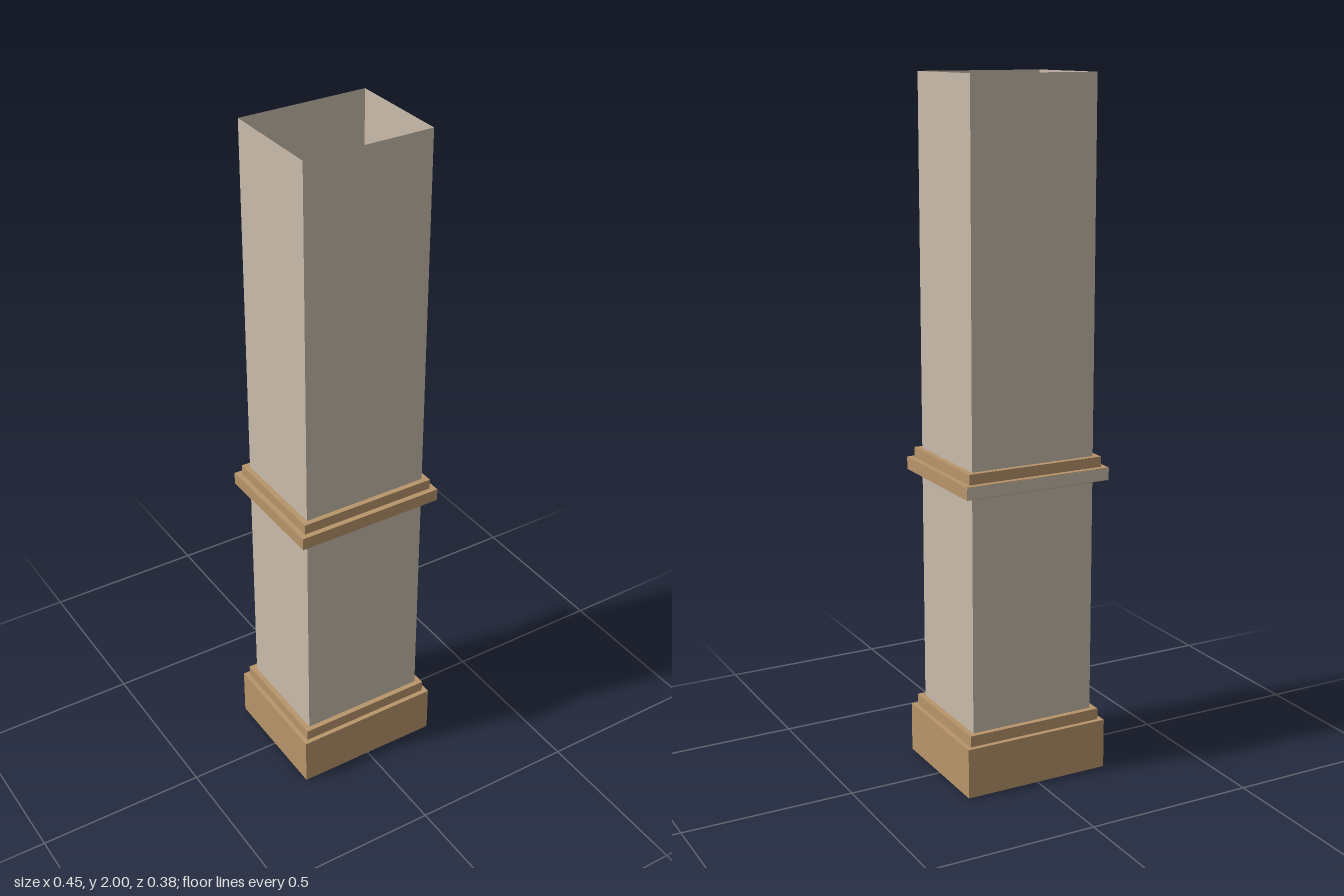
import * as THREE from 'three';

const plaster = new THREE.MeshStandardMaterial({ color: 0xc9bbaa, side: THREE.DoubleSide, flatShading: true });
plaster.name = 'pale plaster';
const wood = new THREE.MeshStandardMaterial({ color: 0xb8956a, flatShading: true });
wood.name = 'tan trim';

// Half sizes of the hollow shaft
const SX = 0.191, SZ = 0.157;

function rectangle(Path, hx, hz) {
  return new Path([[-hx, -hz], [hx, -hz], [hx, hz], [-hx, hz]].map(([x, z]) => new THREE.Vector2(x, z)));
}

// Rectangular frame with an open middle, standing between two heights
function frame(name, out, inner, y0, y1) {
  const shape = rectangle(THREE.Shape, SX + out, SZ + out);
  shape.holes.push(rectangle(THREE.Path, SX + inner, SZ + inner));
  const geometry = new THREE.ExtrudeGeometry(shape, { depth: y1 - y0, bevelEnabled: false });
  geometry.rotateX(-Math.PI / 2).translate(0, y0, 0);
  const mesh = new THREE.Mesh(geometry, wood);
  mesh.name = name;
  return mesh;
}

export function createModel() {
  const group = new THREE.Group();
  group.name = 'squareColumn';

  // Thin-walled shaft, open at both ends
  const bottom = 0.16, top = 2;
  const tube = new THREE.CylinderGeometry(Math.SQRT2, Math.SQRT2, top - bottom, 4, 1, true, Math.PI / 4);
  tube.scale(SX, 1, SZ).translate(0, (top + bottom) / 2, 0);
  const shaft = new THREE.Mesh(tube, plaster);
  shaft.name = 'shaft';
  group.add(shaft);

  // Hollow plinth and the stepped trims
  group.add(
    frame('plinth', 0.031, 0.012, 0, 0.147),
    frame('plinthMoulding', 0.017, 0.001, 0.147, 0.18),
    frame('bandLower', 0.033, 0.001, 0.875, 0.912),
    frame('bandUpper', 0.017, 0.001, 0.912, 0.942)
  );

  // Pale strip on the back of the band
  const strip = new THREE.Mesh(new THREE.BoxGeometry(2 * (SX + 0.033), 0.034, 0.002), plaster);
  strip.name = 'bandBackStrip';
  strip.position.set(0, 0.8935, -(SZ + 0.033));
  group.add(strip);

  return group;
}
